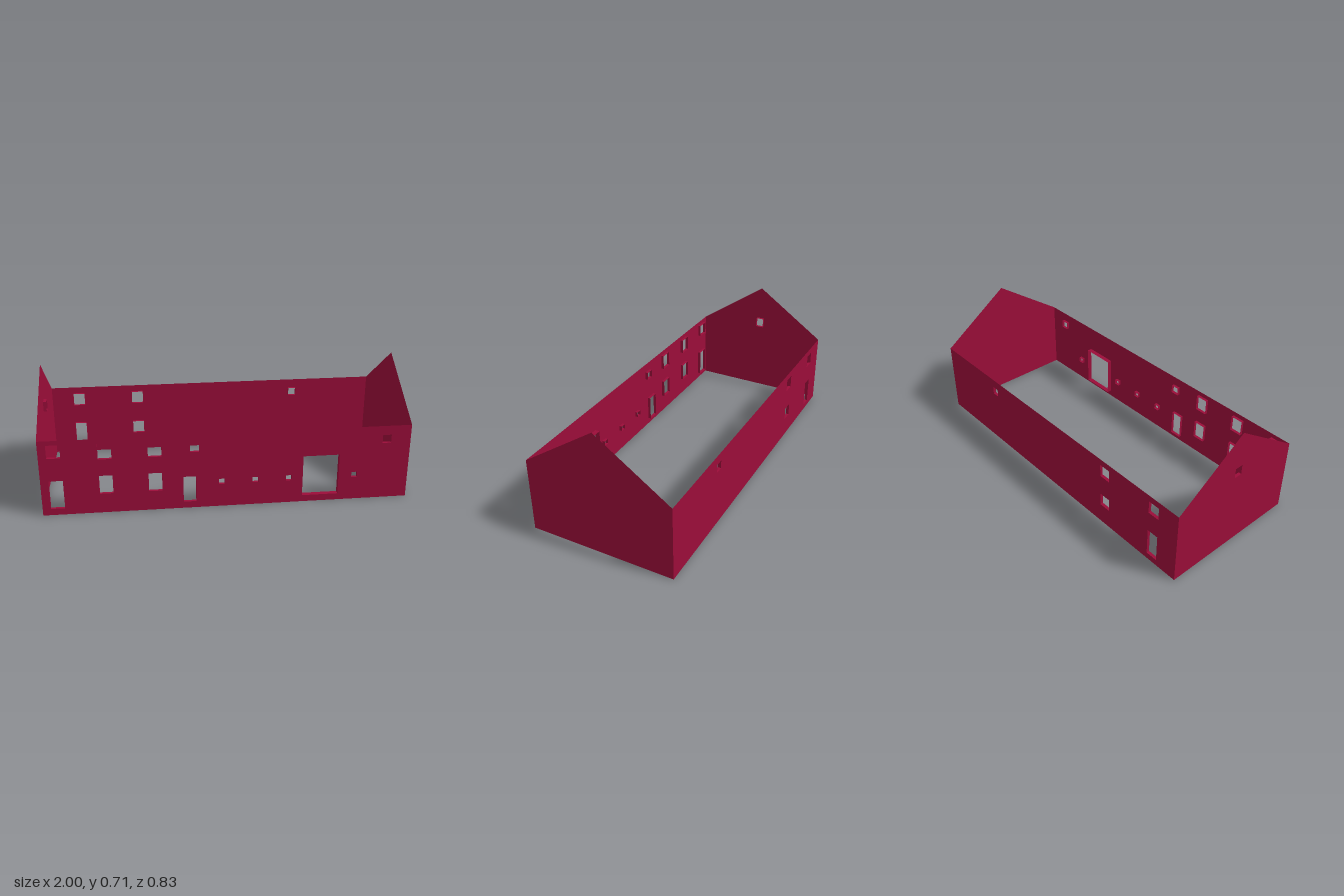
import * as THREE from 'three';
import { mergeGeometries } from 'three/addons/utils/BufferGeometryUtils.js';

const HALF_LENGTH = 1, HALF_WIDTH = 0.415, EAVE = 0.43, RIDGE = 0.715;
const REVEAL = 0.017, GATE_REVEAL = 0.028;

const corners = ([x0, x1, y0, y1]) => [[x0, y0], [x1, y0], [x1, y1], [x0, y1]];
const toPoints = (list) => list.map(([x, y]) => new THREE.Vector2(x, y));

// Four-sided lining running inward from the edge of an opening
function revealGeometry(opening) {
  const depth = opening[4] ?? REVEAL;
  const c = corners(opening);
  const pos = [];
  c.forEach(([ax, ay], i) => {
    const [bx, by] = c[(i + 1) % 4];
    pos.push(ax, ay, 0, bx, by, 0, bx, by, -depth);
    pos.push(ax, ay, 0, bx, by, -depth, ax, ay, -depth);
  });
  const g = new THREE.BufferGeometry();
  g.setAttribute('position', new THREE.Float32BufferAttribute(pos, 3));
  g.computeVertexNormals();
  return g;
}

// A thin wall facing local +z, with openings [x0, x1, y0, y1, depth]
function makeWall(name, outline, openings, material) {
  const group = new THREE.Group();
  group.name = name;
  const shape = new THREE.Shape(toPoints(outline));
  openings.forEach((o) => shape.holes.push(new THREE.Path(toPoints(corners(o).reverse()))));
  const panel = new THREE.Mesh(new THREE.ShapeGeometry(shape), material);
  panel.name = name + 'Panel';
  group.add(panel);
  if (openings.length) {
    const reveals = new THREE.Mesh(mergeGeometries(openings.map(revealGeometry)), material);
    reveals.name = name + 'Reveals';
    group.add(reveals);
  }
  return group;
}

export function createModel() {
  const model = new THREE.Group();
  model.name = 'barnShell';
  const red = new THREE.MeshStandardMaterial({ color: 0x9b0d39, side: THREE.DoubleSide });
  red.name = 'crimsonWall';

  const sideOutline = corners([-HALF_LENGTH, HALF_LENGTH, 0, EAVE]);
  const gableOutline = [[-HALF_WIDTH, 0], [HALF_WIDTH, 0], [HALF_WIDTH, EAVE], [0, RIDGE], [-HALF_WIDTH, EAVE]];

  // Front wall: doors, gate, windows and small vents
  const frontOpenings = [
    [-0.957, -0.885, 0.33, 0.405],
    [-0.957, -0.882, 0.037, 0.2],
    [-0.247, -0.178, 0.037, 0.187],
    [0.407, 0.608, 0.037, 0.273, GATE_REVEAL],
  ];
  for (const x of [-0.658, -0.396]) {
    frontOpenings.push([x - 0.036, x + 0.036, 0.313, 0.404], [x - 0.036, x + 0.036, 0.112, 0.218]);
  }
  for (const x of [-0.184, 0.867]) frontOpenings.push([x - 0.024, x + 0.024, 0.33, 0.377]);
  for (const x of [-0.038, 0.145, 0.33, 0.696]) frontOpenings.push([x - 0.016, x + 0.016, 0.133, 0.164]);
  const front = makeWall('frontWall', sideOutline, frontOpenings, red);
  front.position.z = HALF_WIDTH;

  // Back wall, turned round so its local x runs the other way
  const back = makeWall('backWall', sideOutline, [
    [0.802, 0.87, 0.318, 0.392],
    [0.802, 0.87, 0.037, 0.198],
    [0.442, 0.51, 0.318, 0.392],
    [0.442, 0.51, 0.118, 0.194],
    [-0.532, -0.486, 0.33, 0.377],
  ], red);
  back.rotation.y = Math.PI;
  back.position.z = -HALF_WIDTH;

  // Gable ends, one with a small loft window
  const rightGable = makeWall('rightGable', gableOutline, [[-0.024, 0.024, 0.445, 0.503]], red);
  rightGable.rotation.y = -Math.PI / 2;
  rightGable.position.x = -HALF_LENGTH;
  const leftGable = makeWall('leftGable', gableOutline, [], red);
  leftGable.rotation.y = Math.PI / 2;
  leftGable.position.x = HALF_LENGTH;

  model.add(front, back, rightGable, leftGable);
  return model;
}
